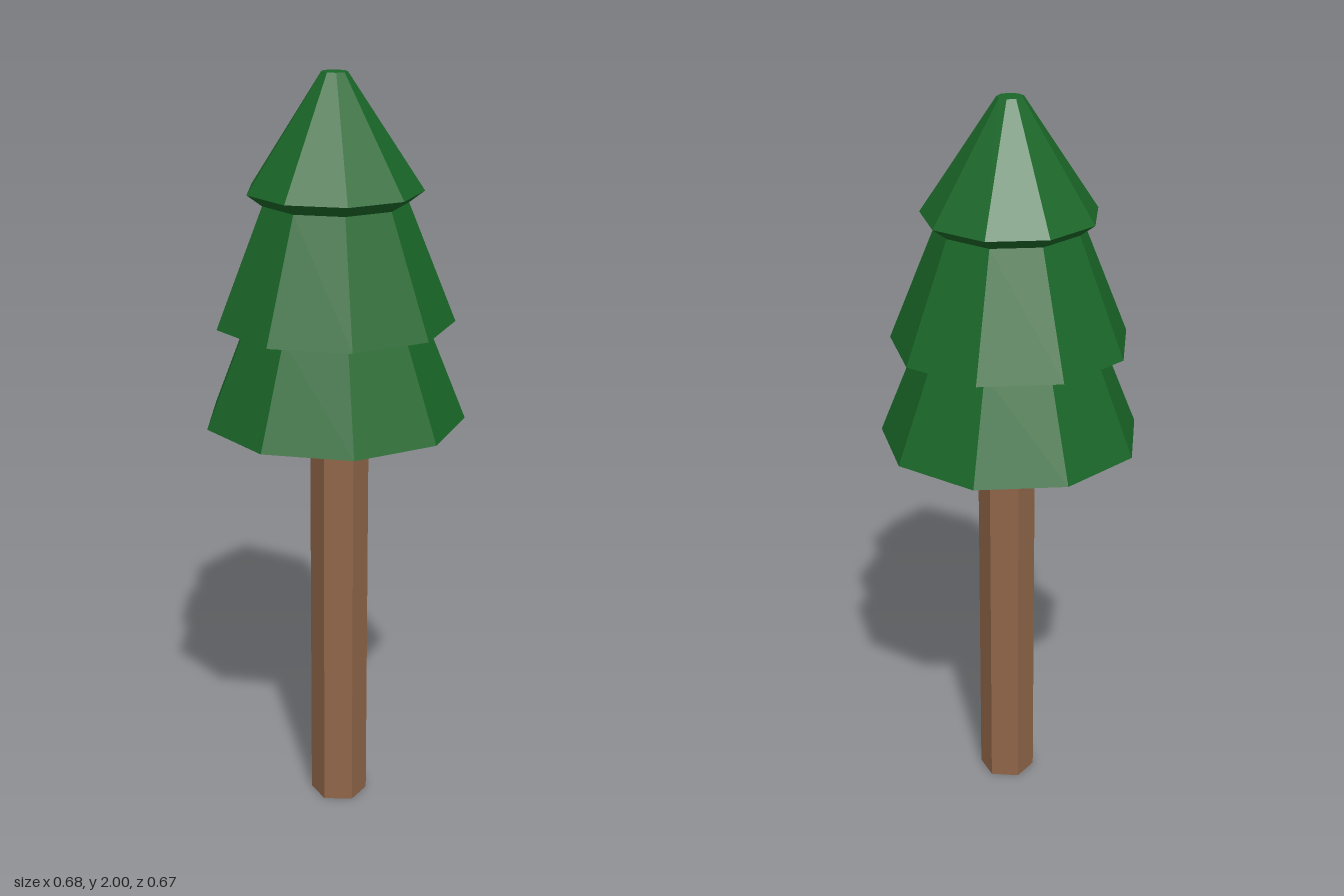
import * as THREE from 'three';

const green = new THREE.MeshStandardMaterial({ color: 0x1a6628, flatShading: true });
const brown = new THREE.MeshStandardMaterial({ color: 0x8f6548, flatShading: true });

// Each tier is a nine-sided ring profile [radius, height], listed from below upwards
const tiers = {
  lowerFoliage: [[0, 1.1], [0.3465, 1.1], [0.24, 1.365]],
  middleFoliage: [[0.24, 1.365], [0.315, 1.365], [0.19, 1.675]],
  topFoliage: [[0.19, 1.675], [0.23, 1.705], [0.034, 2], [0, 2]],
};

export function createModel() {
  const tree = new THREE.Group();
  tree.name = 'tree';

  // Hexagonal trunk, standing slightly off centre
  const trunk = new THREE.Mesh(new THREE.CylinderGeometry(0.077, 0.077, 1.1, 6), brown);
  trunk.name = 'trunk';
  trunk.position.set(-0.01, 0.55, 0.058);
  tree.add(trunk);

  // Stacked foliage, with a corner pointing to the back
  for (const [name, profile] of Object.entries(tiers)) {
    const points = profile.map(([r, y]) => new THREE.Vector2(r, y));
    const tier = new THREE.Mesh(new THREE.LatheGeometry(points, 9, Math.PI), green);
    tier.name = name;
    tier.position.z = 0.01;
    tree.add(tier);
  }
  return tree;
}
